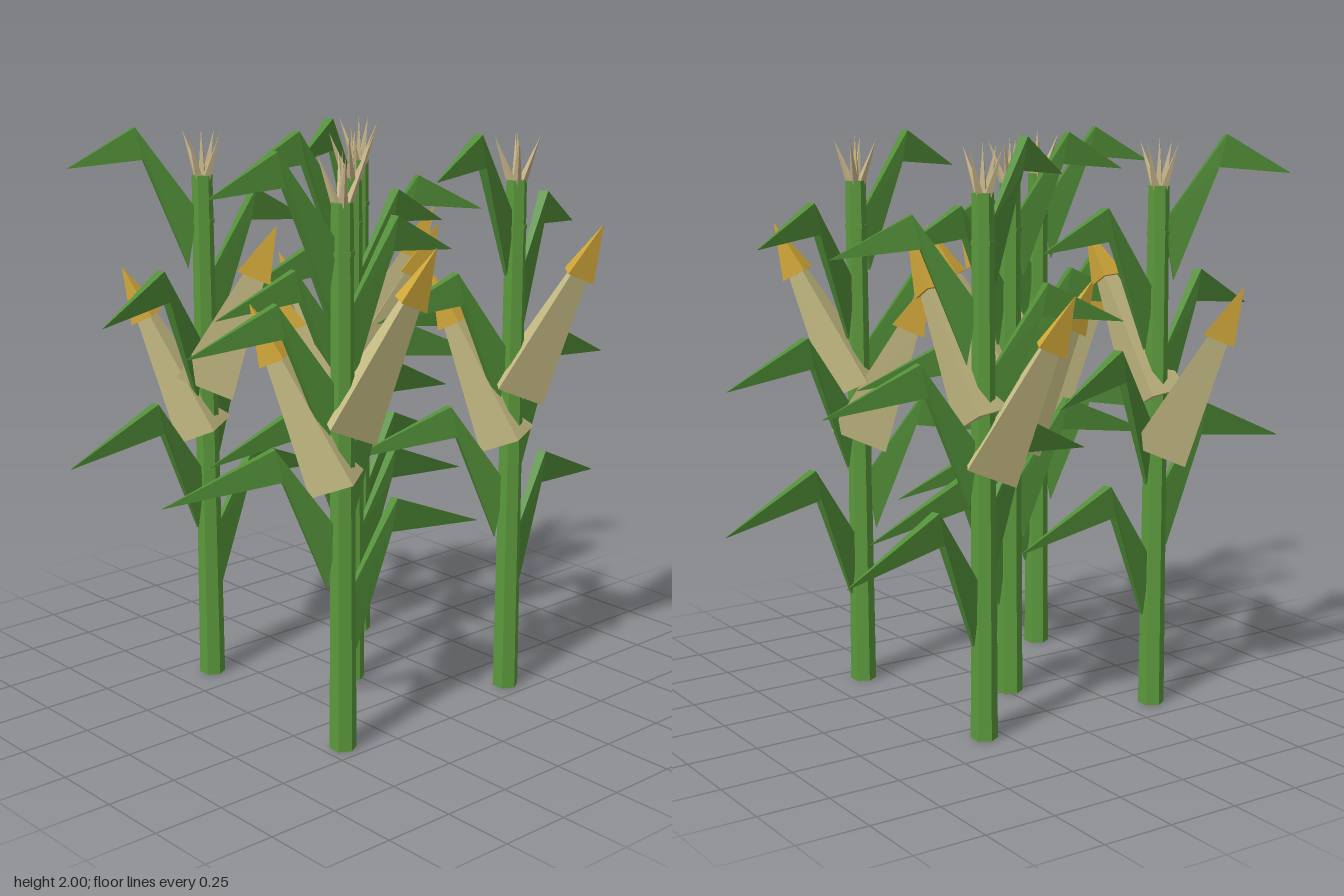
import * as THREE from 'three';

const mat = (name, color, side = THREE.FrontSide) => {
  const m = new THREE.MeshStandardMaterial({ color, flatShading: true, side });
  m.name = name;
  return m;
};

// x, z, six leaf headings from low to high, two ear headings (degrees from +x towards +z)
const PLANTS = [
  { x: -0.43, z: 0.425, leaves: [-1, 202, -10, 195, -2, 192], ears: [33, 232] },
  { x: -0.365, z: -0.38, leaves: [-8, 177, -18, 166, -2, 205], ears: [71, 233] },
  { x: -0.015, z: 0, leaves: [-8, 185, 12, 191, -7, 184], ears: [49, 206] },
  { x: 0.355, z: 0.42, leaves: [-14, 204, -8, 195, -19, 170], ears: [42, 241] },
  { x: 0.32, z: -0.34, leaves: [-15, 160, 7, 187, 22, 159], ears: [67, 212] },
];

// Bent blade along +x: rectangular sections at base, knee and tip
function leafGeometry(reach, tipLift) {
  const sections = [ // top x, top y, bottom x, bottom y, half thickness
    [0.02, 0.2, 0.055, 0, 0.006],
    [0.23, 0.49, 0.205, 0.38, 0.017],
    [reach, tipLift + 0.002, reach, tipLift, 0.001],
  ];
  const pos = [], index = [];
  for (const [tx, ty, bx, by, w] of sections) {
    pos.push(tx, ty, -w, bx, by, -w, bx, by, w, tx, ty, w);
  }
  for (let s = 0; s < 2; s++) {
    for (let j = 0; j < 4; j++) {
      const a = s * 4 + j, b = s * 4 + (j + 1) % 4;
      index.push(a, a + 4, b, b, a + 4, b + 4);
    }
  }
  index.push(0, 1, 2, 0, 2, 3);
  const g = new THREE.BufferGeometry();
  g.setAttribute('position', new THREE.Float32BufferAttribute(pos, 3));
  g.setIndex(index);
  const flat = g.toNonIndexed();
  flat.computeVertexNormals();
  return flat;
}

export function createModel() {
  const stalkGreen = mat('stalk green', 0x5c9a3c);
  const leafGreen = mat('leaf green', 0x528f38, THREE.DoubleSide);
  const huskTan = mat('husk tan', 0xcfc48a);
  const kernelYellow = mat('kernel yellow', 0xd9ae3c);
  const tasselTan = mat('tassel tan', 0xc8b68a);

  const add = (parent, name, geometry, material, y = 0) => {
    const m = new THREE.Mesh(geometry, material);
    m.name = name;
    m.position.y = y;
    parent.add(m);
    return m;
  };
  const heading = (deg) => -THREE.MathUtils.degToRad(deg);

  // Shared shapes; the three-sided ears have one edge on the leaning side
  const stalkGeo = new THREE.CylinderGeometry(0.036, 0.046, 1.83, 6);
  const nodeGeo = new THREE.CylinderGeometry(0.04, 0.04, 0.015, 6);
  const huskGeo = new THREE.CylinderGeometry(0.043, 0.122, 0.46, 3, 1, false, Math.PI / 2);
  const cobGeo = new THREE.CylinderGeometry(0, 0.07, 0.2, 3, 1, false, Math.PI / 2);
  const spikeGeo = new THREE.ConeGeometry(0.016, 0.17, 4);
  spikeGeo.translate(0, 0.085, 0);
  const leafGeos = Array.from({ length: 6 }, (_, i) =>
    leafGeometry(0.628 - 0.034 * i, 0.322 + 0.007 * i));

  const model = new THREE.Group();
  model.name = 'cornPatch';

  for (const p of PLANTS) {
    const plant = new THREE.Group();
    plant.name = 'cornPlant';
    plant.position.set(p.x, 0, p.z);
    model.add(plant);

    add(plant, 'stalk', stalkGeo, stalkGreen, 0.915);
    add(plant, 'stalkNode', nodeGeo, stalkGreen, 1.67);

    // Leaves climb the stalk on alternating sides
    p.leaves.forEach((deg, i) => {
      add(plant, 'leaf', leafGeos[i], leafGreen, 0.335 + 0.235 * i).rotation.y = heading(deg);
    });

    // Two ears leaning outwards, one higher than the other
    p.ears.forEach((deg, i) => {
      const ear = new THREE.Group();
      ear.name = 'ear';
      ear.position.y = i === 0 ? 1.1 : 0.92;
      ear.rotation.set(0, heading(deg), -0.477);
      add(ear, 'husk', huskGeo, huskTan, 0.23);
      add(ear, 'cob', cobGeo, kernelYellow, 0.553);
      plant.add(ear);
    });

    // Tassel: an upright spike with four splayed around it
    add(plant, 'tasselSpike', spikeGeo, tasselTan, 1.82);
    for (let i = 0; i < 4; i++) {
      const spike = add(plant, 'tasselSpike', spikeGeo, tasselTan, 1.82);
      const a = heading(p.ears[0] + 90 * i);
      spike.position.x = 0.018 * Math.cos(a);
      spike.position.z = -0.018 * Math.sin(a);
      spike.rotation.set(0, a, -0.36);
    }
  }
  return model;
}
